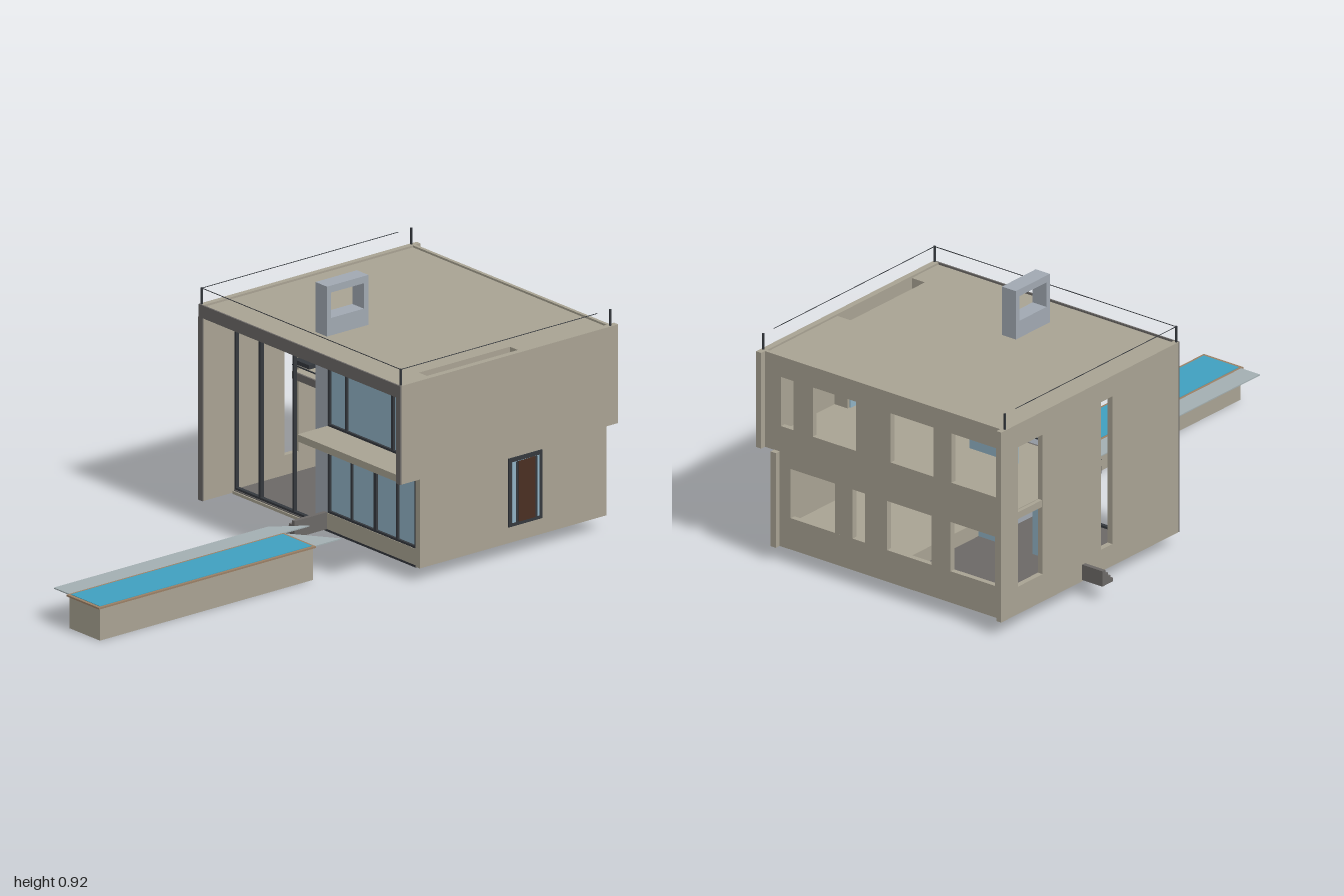
import * as THREE from 'three';

const mat = (name, color, side = THREE.FrontSide) => {
  const m = new THREE.MeshStandardMaterial({ color, side });
  m.name = name;
  return m;
};

export function createModel() {
  const house = new THREE.Group();
  house.name = 'house';
  const plaster = mat('beige plaster', 0xa8a292);
  const grey = mat('dark grey concrete', 0x6b6866);
  const glass = mat('blue glass', 0x8fb1c3, THREE.DoubleSide);
  const water = mat('pool water', 0x3f9fbf);
  const frame = mat('charcoal metal', 0x34383d);
  const stone = mat('blue grey stone', 0xa0a8b1);
  const deckMat = mat('pale deck', 0xa2aeb1, THREE.DoubleSide);
  const wood = mat('brown wood', 0x4a2f22);
  const tan = mat('tan rim', 0x9a8066);

  const add = (name, geo, m) => {
    const mesh = new THREE.Mesh(geo, m);
    mesh.name = name;
    house.add(mesh);
    return mesh;
  };
  // Box given by its minimum and maximum on each axis
  const box = (name, m, x0, x1, y0, y1, z0, z1) => {
    const b = add(name, new THREE.BoxGeometry(x1 - x0, y1 - y0, z1 - z0), m);
    b.position.set((x0 + x1) / 2, (y0 + y1) / 2, (z0 + z1) / 2);
    return b;
  };
  // Flat slab from an outline, with rectangular holes [u0, u1, v0, v1]
  const pts = (list) => list.map(([u, v]) => new THREE.Vector2(u, v));
  const rect = (u0, u1, v0, v1) => [[u0, v0], [u1, v0], [u1, v1], [u0, v1]];
  const panel = (name, m, outline, holes, depth) => {
    const s = new THREE.Shape(pts(outline));
    for (const h of holes) s.holes.push(new THREE.Path(pts(rect(...h))));
    return add(name, new THREE.ExtrudeGeometry(s, { depth, bevelEnabled: false }), m);
  };

  // Back wall: two rows of window openings, lower storey narrower
  const up = [0.49, 0.67], low = [0.165, 0.345];
  const backHoles = [
    [0.42, 0.474, ...up], [0.154, 0.338, ...up], [-0.18, 0.005, ...up], [-0.447, -0.257, ...up],
    [0.243, 0.433, ...low], [0.114, 0.168, ...low], [-0.17, 0.02, ...low], [-0.442, -0.252, ...low],
  ];
  const backOutline = [[-0.47, 0.05], [0.495, 0.05], [0.495, 0.395], [0.55, 0.395], [0.55, 0.738], [-0.47, 0.738]];
  panel('backWall', plaster, backOutline, backHoles, 0.02).position.z = -0.98;

  // Side walls
  const leftWall = panel('leftWall', plaster, rect(-1, -0.058, 0.05, 0.745),
    [[-0.91, -0.78, 0.15, 0.66], [-0.47, -0.41, 0.13, 0.67]], 0.02);
  leftWall.rotation.y = -Math.PI / 2;
  leftWall.position.x = -0.465;
  box('leftWindowSpandrel', plaster, -0.482, -0.468, 0.395, 0.42, -0.91, -0.78);
  box('rightUpperWall', plaster, 0.543, 0.565, 0.395, 0.745, -1, -0.058);
  box('rightLowerWall', plaster, 0.48, 0.503, 0.05, 0.396, -1, -0.19);

  // Roof with light well
  const roof = panel('roof', plaster, rect(-0.466, 0.544, -0.979, -0.058), [[0.487, 0.543, -0.595, -0.2]], 0.037);
  roof.rotation.x = Math.PI / 2;
  roof.position.y = 0.738;
  box('backParapet', plaster, -0.466, 0.544, 0.738, 0.745, -0.98, -0.968);

  // Grey front edge frame
  box('roofFascia', grey, -0.485, 0.565, 0.7, 0.745, -0.059, -0.053);
  box('leftWallFrontEdge', grey, -0.486, -0.465, 0.05, 0.7, -0.059, -0.053);
  box('rightWallFrontEdge', grey, 0.543, 0.565, 0.395, 0.7, -0.059, -0.053);

  // Ground floors and the upper floor with its balcony
  box('lowFloor', grey, -0.466, 0, 0.047, 0.06, -0.96, -0.19);
  box('lowFloorEdge', plaster, -0.466, -0.04, 0.046, 0.056, -0.19, -0.185);
  box('highFloor', plaster, 0, 0.481, 0.055, 0.113, -0.96, -0.19);
  box('highFloorUnderside', frame, 0, 0.481, 0.047, 0.055, -0.96, -0.19);
  const upper = panel('upperFloorAndBalcony', plaster,
    [[-0.466, -0.965], [0.544, -0.965], [0.544, -0.062], [0.02, -0.062], [0.02, -0.45], [-0.466, -0.45]], [], 0.025);
  upper.rotation.x = Math.PI / 2;
  upper.position.y = 0.421;
  box('upperFloorEdge', grey, -0.465, -0.02, 0.395, 0.421, -0.45, -0.443);

  // Chimney: tall stone slab with an opening above the roof
  const chimney = panel('chimney', stone, rect(-0.37, -0.19, 0.055, 0.915), [[-0.35, -0.207, 0.8, 0.89]], 0.06);
  chimney.rotation.y = -Math.PI / 2;
  chimney.position.x = 0.02;

  // Front glazing on the right, both storeys, with mullions and rails
  const storeys = [
    { y0: 0.113, y1: 0.396, bars: [[0.025, 0.01], [0.142, 0.008], [0.265, 0.014], [0.38, 0.008], [0.476, 0.01]] },
    { y0: 0.421, y1: 0.7, bars: [[0.025, 0.01], [0.115, 0.008], [0.355, 0.01], [0.395, 0.008], [0.481, 0.012]] },
  ];
  for (const { y0, y1, bars } of storeys) {
    box('frontGlass', glass, 0.02, 0.483, y0, y1, -0.206, -0.201);
    for (const [x, w] of bars) box('mullion', frame, x - w / 2, x + w / 2, y0, y1, -0.207, -0.193);
    box('bottomRail', frame, 0.02, 0.486, y0, y0 + 0.008, -0.207, -0.192);
    box('topRail', frame, 0.02, 0.486, y1 - 0.008, y1, -0.207, -0.192);
  }
  box('upperSideGlass', glass, 0.482, 0.487, 0.421, 0.7, -0.6, -0.2);
  box('lightWellGlass', glass, 0.487, 0.543, 0.421, 0.69, -0.395, -0.39);
  for (const y of [0.43, 0.63]) box('lightWellBar', frame, 0.487, 0.543, y, y + 0.006, -0.389, -0.384);
  box('lightWellBackWall', plaster, 0.487, 0.543, 0.421, 0.702, -0.61, -0.595);

  // Open two-storey bay on the left
  for (const [x, w] of [[-0.462, 0.008], [-0.335, 0.011], [-0.16, 0.008]])
    box('bayMullion', frame, x - w / 2, x + w / 2, 0.06, 0.7, -0.207, -0.193);
  for (const y of [0.06, 0.69]) box('bayRail', frame, -0.465, -0.04, y, y + 0.008, -0.207, -0.193);
  box('galleryRail', frame, -0.465, -0.07, 0.443, 0.447, -0.447, -0.443);
  box('galleryBench', frame, -0.465, -0.385, 0.447, 0.462, -0.53, -0.45);

  // Interior glass partitions
  box('narrowPartition', glass, -0.38, -0.3, 0.11, 0.395, -0.605, -0.6);
  box('widePartition', glass, -0.217, -0.07, 0.11, 0.395, -0.605, -0.6);
  box('upperPartition', glass, -0.237, -0.03, 0.421, 0.7, -0.605, -0.6);

  // Interior stair
  const stair = box('interiorStair', grey, -0.18, 0.18, -0.008, 0.008, -0.46, -0.39);
  stair.position.set(-0.075, 0.272, -0.41);
  stair.rotation.z = -0.83;

  // Front steps climbing towards +x, and side steps climbing to the rear
  for (let i = 0; i < 4; i++) {
    box('frontStep', grey, -0.04 + i * 0.015, 0.02, 0.055 + i * 0.015, 0.07 + i * 0.015, -0.19, -0.05);
    box('sideStep', grey, -0.572, -0.484, 0.055 + i * 0.014, 0.069 + i * 0.014, -0.57, -0.515 - i * 0.013);
  }

  // Side door with sidelights
  box('doorFrame', frame, 0.5, 0.507, 0.107, 0.35, -0.72, -0.573);
  box('doorSidelights', glass, 0.506, 0.509, 0.12, 0.335, -0.705, -0.588);
  box('doorSurround', frame, 0.506, 0.51, 0.12, 0.335, -0.695, -0.603);
  box('door', wood, 0.506, 0.512, 0.12, 0.335, -0.684, -0.613);

  // Roof posts and wires
  for (const x of [-0.478, 0.557]) {
    for (const z of [-0.062, -0.972]) box('railPost', frame, x - 0.003, x + 0.003, 0.74, 0.803, z - 0.003, z + 0.003);
    box('sideWire', frame, x - 0.0008, x + 0.0008, 0.8, 0.802, -0.915, -0.062);
  }
  box('frontWire', frame, -0.478, 0.557, 0.8, 0.802, -0.063, -0.061);

  // Pool and its thin deck
  box('poolBasin', plaster, 0.097, 0.255, 0, 0.113, 0.067, 0.992);
  box('poolRim', tan, 0.09, 0.26, 0.113, 0.119, 0.058, 1);
  box('poolWater', water, 0.1, 0.25, 0.117, 0.1205, 0.068, 0.988);
  const decks = [
    [[0.01, 0.06], [0.09, -0.055], [0.09, 0.988], [0.01, 0.988]],
    [[0.095, 0.058], [0.255, -0.055], [0.255, 0.058]],
  ];
  for (const outline of decks) {
    const deck = panel('poolDeck', deckMat, outline, [], 0.004);
    deck.rotation.x = Math.PI / 2;
    deck.position.y = 0.119;
  }
  return house;
}
